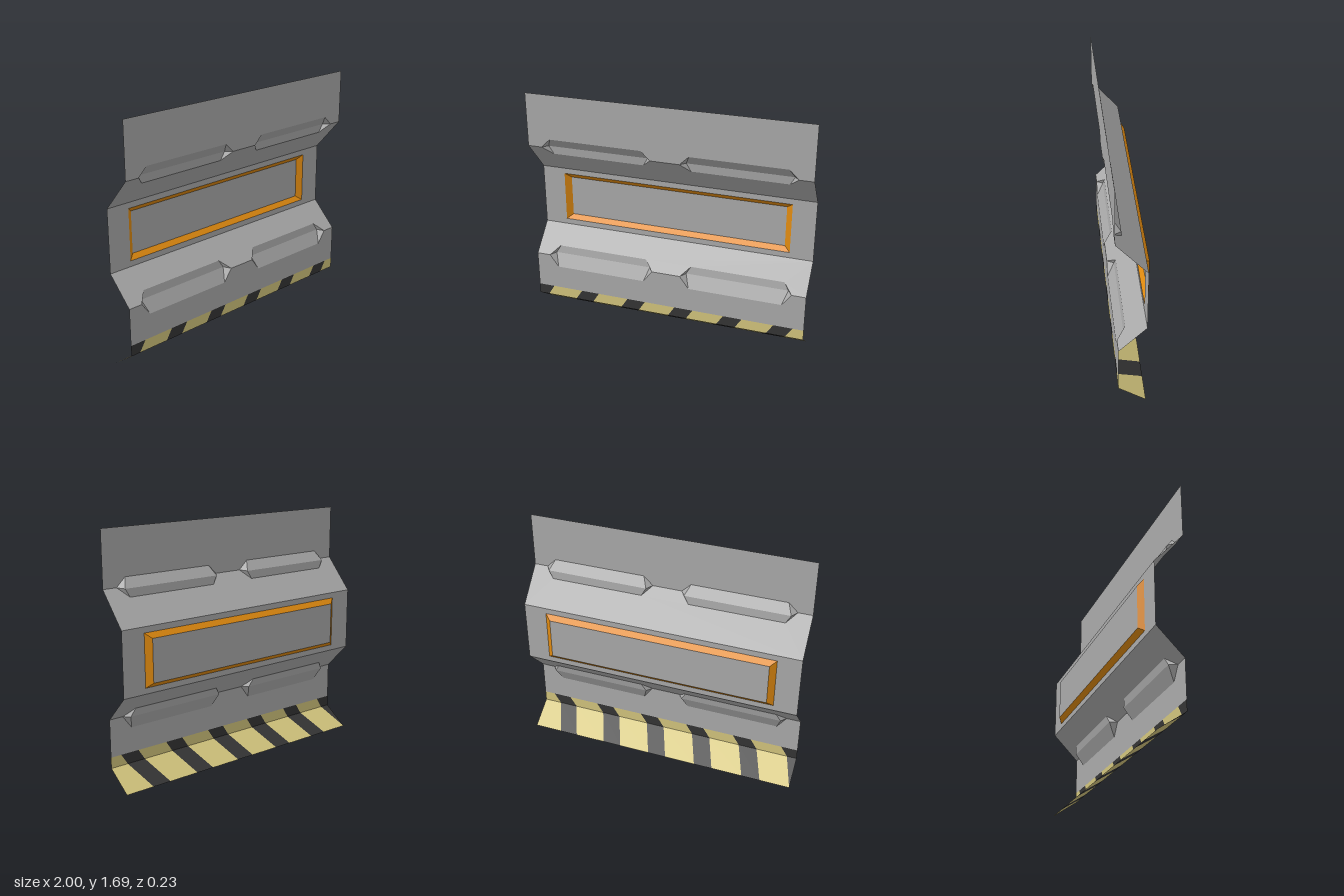
import * as THREE from 'three';

const mat = (name, color) =>
  new THREE.MeshStandardMaterial({ name, color, side: THREE.DoubleSide, flatShading: true });

// Profile corners of the folded sheet as [y, z], from top to bottom
const TOP = [1.69, 0.115], UPPER = [1.31, 0.115], RECESS_TOP = [1.085, -0.085];
const RECESS_LOW = [0.645, -0.085], LOWER = [0.46, 0.096], BAND = [0.2, 0.096];
const FOLD = [0.125, 0.096], FOOT = [0, -0.085];

// Notches along a fold: outer tip and shoulder positions in x
const TIP = 0.065;
const NOTCHES = [[-0.9, -0.104], [0.104, 0.9]];

const at = (x, p) => new THREE.Vector3(x, p[0], p[1]);
const mix = (a, b, t) => [a[0] + (b[0] - a[0]) * t, a[1] + (b[1] - a[1]) * t];
const rect = (hw, y0, y1, z) =>
  [[-hw, y0], [hw, y0], [hw, y1], [-hw, y1]].map(([x, y]) => new THREE.Vector3(x, y, z));

// Merge flat polygons (with optional holes) into one mesh facing the front
function mesh(name, material, polygons) {
  const pos = [];
  for (const { outline, holes = [] } of polygons) {
    const all = [outline, ...holes].flat();
    const flat = (list) => list.map((p) => new THREE.Vector2(p.x, p.y));
    for (const tri of THREE.ShapeUtils.triangulateShape(flat(outline), holes.map(flat))) {
      const [a, b, c] = tri.map((i) => all[i]);
      const area = (b.x - a.x) * (c.y - a.y) - (b.y - a.y) * (c.x - a.x);
      for (const p of area > 0 ? [a, b, c] : [a, c, b]) pos.push(p.x, p.y, p.z);
    }
  }
  const geo = new THREE.BufferGeometry();
  geo.setAttribute('position', new THREE.Float32BufferAttribute(pos, 3));
  geo.computeVertexNormals();
  const m = new THREE.Mesh(geo, material);
  m.name = name;
  return m;
}

// Full-width strip from a fold to another edge, with the fold cut back at the notches
function notchedStrip(fold, far, cut) {
  const outline = [at(-1, fold)];
  for (const [x0, x1] of NOTCHES) {
    outline.push(at(x0, fold), at(x0 + TIP, cut), at(x1 - TIP, cut), at(x1, fold));
  }
  outline.push(at(1, fold), at(1, far), at(-1, far));
  return { outline };
}

// Two long faces and four end facets lining each notch
function notchFaces(fold, above, below, inner) {
  return NOTCHES.flatMap(([x0, x1]) => {
    const faces = [];
    const i0 = at(x0 + TIP / 2, inner), i1 = at(x1 - TIP / 2, inner);
    for (const edge of [above, below]) {
      const e0 = at(x0 + TIP, edge), e1 = at(x1 - TIP, edge);
      faces.push({ outline: [e0, e1, i1, i0] });
      faces.push({ outline: [at(x0, fold), e0, i0] });
      faces.push({ outline: [at(x1, fold), e1, i1] });
    }
    return faces;
  });
}

// Slanted stripes on one strip, clipped to the sheet width
function stripes(a, b, start, width) {
  const clamp = (x) => Math.max(-1, Math.min(1, x));
  const shift = (p) => (0.2 - p[0]) * -0.64;
  const out = [];
  for (let i = 0; i < 6; i++) {
    const x = start + i * 0.3605;
    const xs = [x + shift(a), x + width + shift(a), x + width + shift(b), x + shift(b)].map(clamp);
    if (xs[1] - xs[0] < 0.001 && xs[2] - xs[3] < 0.001) continue;
    out.push({ outline: [at(xs[0], a), at(xs[1], a), at(xs[2], b), at(xs[3], b)] });
  }
  return out;
}

export function createModel() {
  const grey = mat('grey metal', 0xaaaaaa);
  const orange = mat('orange trim', 0xe08a10);
  const yellow = mat('hazard yellow', 0xd3c57d);
  const black = mat('hazard black', 0x353535);
  const model = new THREE.Group();
  model.name = 'wallPanel';

  // Upper panel and overhang, notched along their fold
  const upAbove = [1.372, 0.115], upBelow = mix(UPPER, RECESS_TOP, 0.27);
  model.add(mesh('upperPanel', grey, [notchedStrip(UPPER, TOP, upAbove)]));
  model.add(mesh('overhang', grey, [notchedStrip(UPPER, RECESS_TOP, upBelow)]));
  model.add(mesh('upperNotches', grey, notchFaces(UPPER, upAbove, upBelow, [1.306, 0.066])));

  // Recessed middle panel with a sunken, bevelled window
  const outer = rect(0.835, 0.685, 1.045, -0.085);
  const inner = rect(0.793, 0.717, 1.01, -0.115);
  const middle = [at(-1, RECESS_TOP), at(1, RECESS_TOP), at(1, RECESS_LOW), at(-1, RECESS_LOW)];
  model.add(mesh('middlePanel', grey, [{ outline: middle, holes: [outer] }]));
  model.add(mesh('windowFrame', orange, outer.map((p, i) => {
    const j = (i + 1) % 4;
    return { outline: [p, outer[j], inner[j], inner[i]] };
  })));
  model.add(mesh('sunkenPanel', grey, [{ outline: inner }]));

  // Ledge and lower panel, notched along their fold
  const lowAbove = mix(LOWER, RECESS_LOW, 0.32), lowBelow = [0.372, 0.096];
  model.add(mesh('ledge', grey, [notchedStrip(LOWER, RECESS_LOW, lowAbove)]));
  model.add(mesh('lowerPanel', grey, [notchedStrip(LOWER, BAND, lowBelow)]));
  model.add(mesh('lowerNotches', grey, notchFaces(LOWER, lowAbove, lowBelow, [0.465, 0.048])));

  // Hazard band wrapping around the bottom fold: dark stripes and the yellow gaps between
  for (const [name, a, b] of [['bandFront', BAND, FOLD], ['bandFoot', FOLD, FOOT]]) {
    model.add(mesh(name + 'Dark', black, stripes(a, b, -1.016, 0.135)));
    model.add(mesh(name + 'Yellow', yellow, stripes(a, b, -0.881, 0.2255)));
  }
  return model;
}
